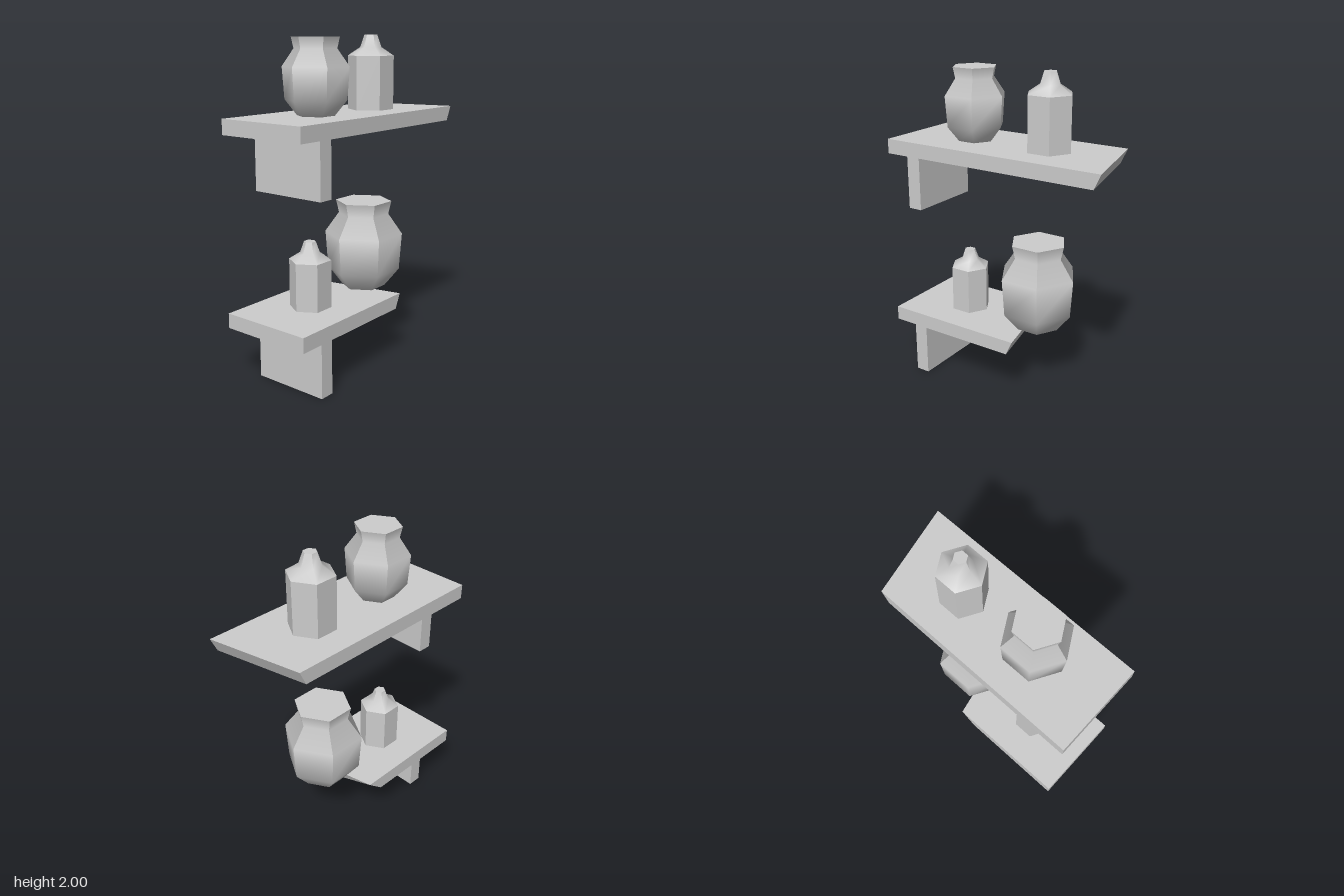
import * as THREE from 'three';
import { mergeGeometries } from 'three/addons/utils/BufferGeometryUtils.js';

const SIDES = 6;

// Six-sided turned body. profile: [radius, y, sharp]; rings marked sharp
// show their upright edges, the others are shaded smoothly around.
function facetedLathe(profile) {
  const pos = [], nor = [], idx = [];
  const step = (Math.PI * 2) / SIDES;
  const band = (i) => {
    const a = profile[i], b = profile[i + 1];
    return new THREE.Vector2(b[1] - a[1], a[0] - b[0]).normalize();
  };
  const last = profile.length - 1;
  for (let s = 0; s < SIDES; s++) {
    const base = pos.length / 3;
    profile.forEach(([r, y, sharp], i) => {
      const tilt = band(Math.max(i - 1, 0)).add(band(Math.min(i, last - 1))).normalize();
      for (let e = 0; e < 2; e++) {
        const a = (s + e) * step;
        const n = sharp ? (s + 0.5) * step : a;
        pos.push(r * Math.cos(a), y, -r * Math.sin(a));
        nor.push(tilt.x * Math.cos(n), tilt.y, -tilt.x * Math.sin(n));
      }
      if (i < last) {
        const k = base + i * 2;
        idx.push(k, k + 1, k + 3, k, k + 3, k + 2);
      }
    });
  }
  const g = new THREE.BufferGeometry();
  g.setAttribute('position', new THREE.Float32BufferAttribute(pos, 3));
  g.setAttribute('normal', new THREE.Float32BufferAttribute(nor, 3));
  g.setIndex(idx);
  return g;
}

function disc(r, y, up) {
  const g = new THREE.CircleGeometry(r, SIDES);
  g.rotateX(up ? -Math.PI / 2 : Math.PI / 2).translate(0, y, 0);
  g.deleteAttribute('uv');
  return g;
}

// Board from x = -0.73 to a slanted end; endX(isTop, z) gives the end position
function boardGeometry(endX) {
  const box = new THREE.BoxGeometry(1, 0.09, 0.58, 1, 1, 2);
  const p = box.attributes.position;
  for (let i = 0; i < p.count; i++) {
    p.setX(i, p.getX(i) < 0 ? -0.73 : endX(p.getY(i) > 0, p.getZ(i)));
  }
  const g = box.toNonIndexed();
  g.computeVertexNormals();
  return g;
}

export function createModel() {
  const model = new THREE.Group();
  model.name = 'shelvesWithPots';
  const grey = new THREE.MeshStandardMaterial({ color: 0xcccccc });
  grey.name = 'plain grey';

  const add = (name, geometry, x, y, z, scale = 1) => {
    const mesh = new THREE.Mesh(geometry, grey);
    mesh.name = name;
    mesh.position.set(x, y, z);
    mesh.scale.setScalar(scale);
    model.add(mesh);
  };

  // Boards: the lower one has its back bottom corner chipped away
  const slant = (front, top, z) => front - (0.29 - z) * 0.215 - (top ? 0 : 0.042);
  add('upperBoard', boardGeometry((top, z) => slant(0.724, top, z)), 0, 1.505, 0);
  add('lowerBoard', boardGeometry((top, z) =>
    !top && z < -0.1 ? -0.055 : slant(0.175, top, z)), 0, 0.375, 0);

  // Upright supports, flush with the front
  const support = new THREE.BoxGeometry(0.09, 0.325, 0.48);
  add('upperSupport', support, -0.535, 1.2975, 0.05);
  add('lowerSupport', support, -0.535, 0.1675, 0.05);

  // Vases with closed rims
  const vase = mergeGeometries([
    facetedLathe([
      [0.11, 0, false], [0.182, 0.09, false], [0.195, 0.275, true],
      [0.125, 0.375, true], [0.14, 0.44, true],
    ]),
    disc(0.14, 0.44, true),
    disc(0.11, 0, false),
  ]);
  add('upperVase', vase, -0.277, 1.55, 0);
  add('lowerVase', vase, 0.177, 0.42, 0, 1.265);

  // Bottles: straight body, sloping shoulder and small spout
  const bottle = mergeGeometries([
    facetedLathe([[0.142, 0, true], [0.142, 0.326, true]]),
    facetedLathe([
      [0.142, 0.326, false], [0.066, 0.376, false], [0.04, 0.45, true],
    ]),
    disc(0.04, 0.45, true),
    disc(0.142, 0, false),
  ]);
  add('upperBottle', bottle, 0.242, 1.55, 0);
  add('lowerBottle', bottle, -0.34, 0.42, 0, 0.89);

  return model;
}
